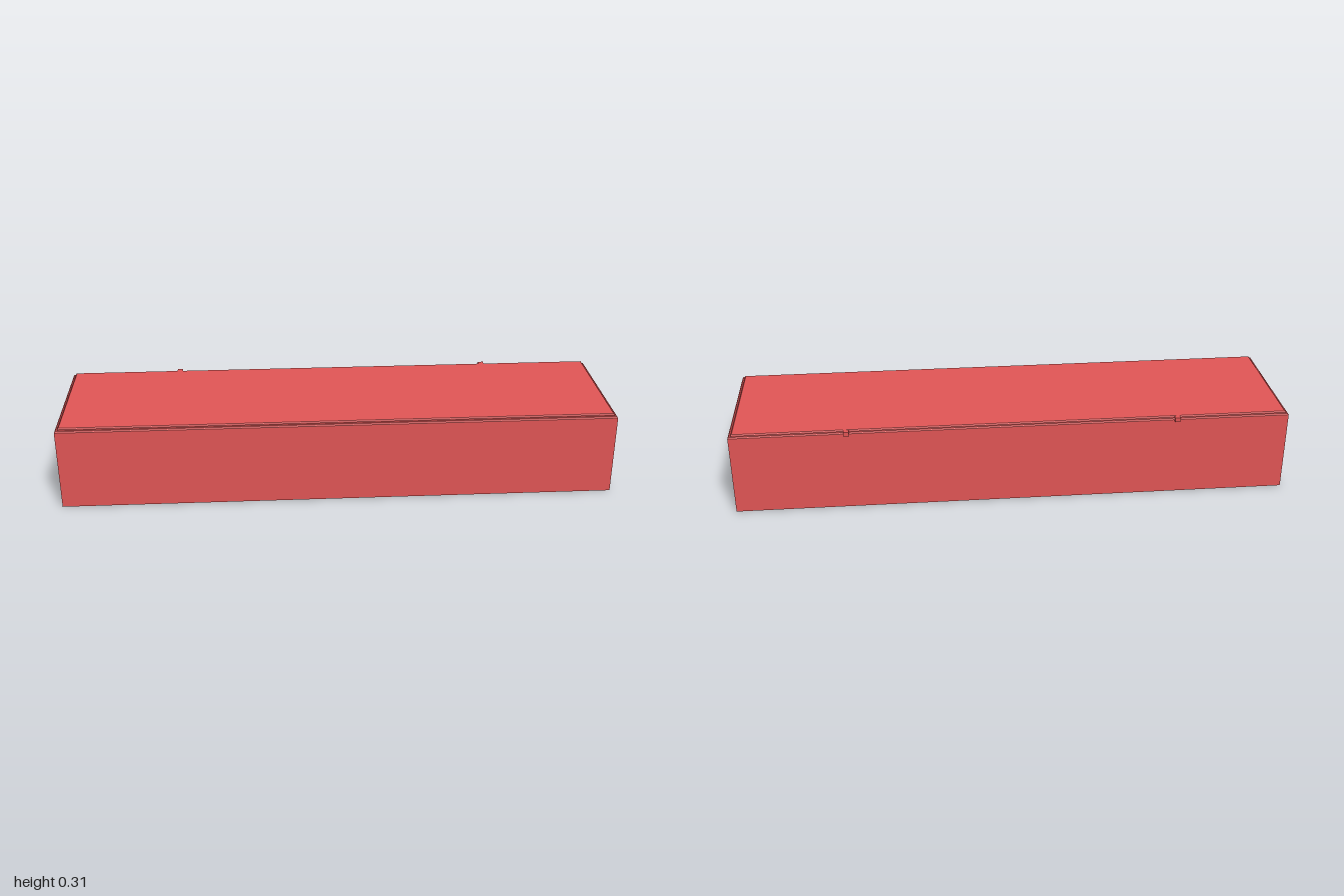
import * as THREE from 'three';

const material = new THREE.MeshStandardMaterial({ color: 0xe05555, flatShading: true });

// Rectangular block standing on y = 0 with its upper edges chamfered
function chamferedBlock(width, height, depth, chamfer) {
  const geometry = new THREE.BoxGeometry(width, height, depth, 1, 2, 1);
  geometry.translate(0, height / 2, 0);
  const p = geometry.attributes.position;
  for (let i = 0; i < p.count; i++) {
    const y = p.getY(i);
    if (y > height * 0.75) {
      p.setX(i, Math.sign(p.getX(i)) * (width / 2 - chamfer));
      p.setZ(i, Math.sign(p.getZ(i)) * (depth / 2 - chamfer));
    } else if (y > height * 0.25) {
      p.setY(i, height - chamfer);
    }
  }
  geometry.computeVertexNormals();
  return geometry;
}

function addPart(group, name, geometry, x, y, z) {
  const mesh = new THREE.Mesh(geometry, material);
  mesh.name = name;
  mesh.position.set(x, y, z);
  group.add(mesh);
}

// Square loop bracket, drawn as (-z, y) and extruded across x
function hingeGeometry(width) {
  const outline = new THREE.Shape([
    [0.237, 0.308], [0.256, 0.308], [0.256, 0.292], [0.242, 0.292],
    [0.242, 0.296], [0.2515, 0.296], [0.2515, 0.3045], [0.237, 0.3045],
  ].map(([a, b]) => new THREE.Vector2(a, b)));
  const geometry = new THREE.ExtrudeGeometry(outline, { depth: width, bevelEnabled: false });
  geometry.translate(0, 0, -width / 2);
  geometry.rotateY(Math.PI / 2);
  return geometry;
}

export function createModel() {
  const group = new THREE.Group();
  group.name = 'hingedBox';

  // Long body with a thin, slightly inset lid set flush towards the back
  addPart(group, 'body', chamferedBlock(2, 0.3, 0.5, 0.004), 0, 0, 0.006);
  addPart(group, 'lid', chamferedBlock(1.98, 0.0085, 0.486, 0.004), 0, 0.3, 0.003);

  // Pair of hinges along the back edge
  const hinge = hingeGeometry(0.02);
  addPart(group, 'leftHinge', hinge, 0.59, 0, 0);
  addPart(group, 'rightHinge', hinge, -0.59, 0, 0);

  return group;
}
